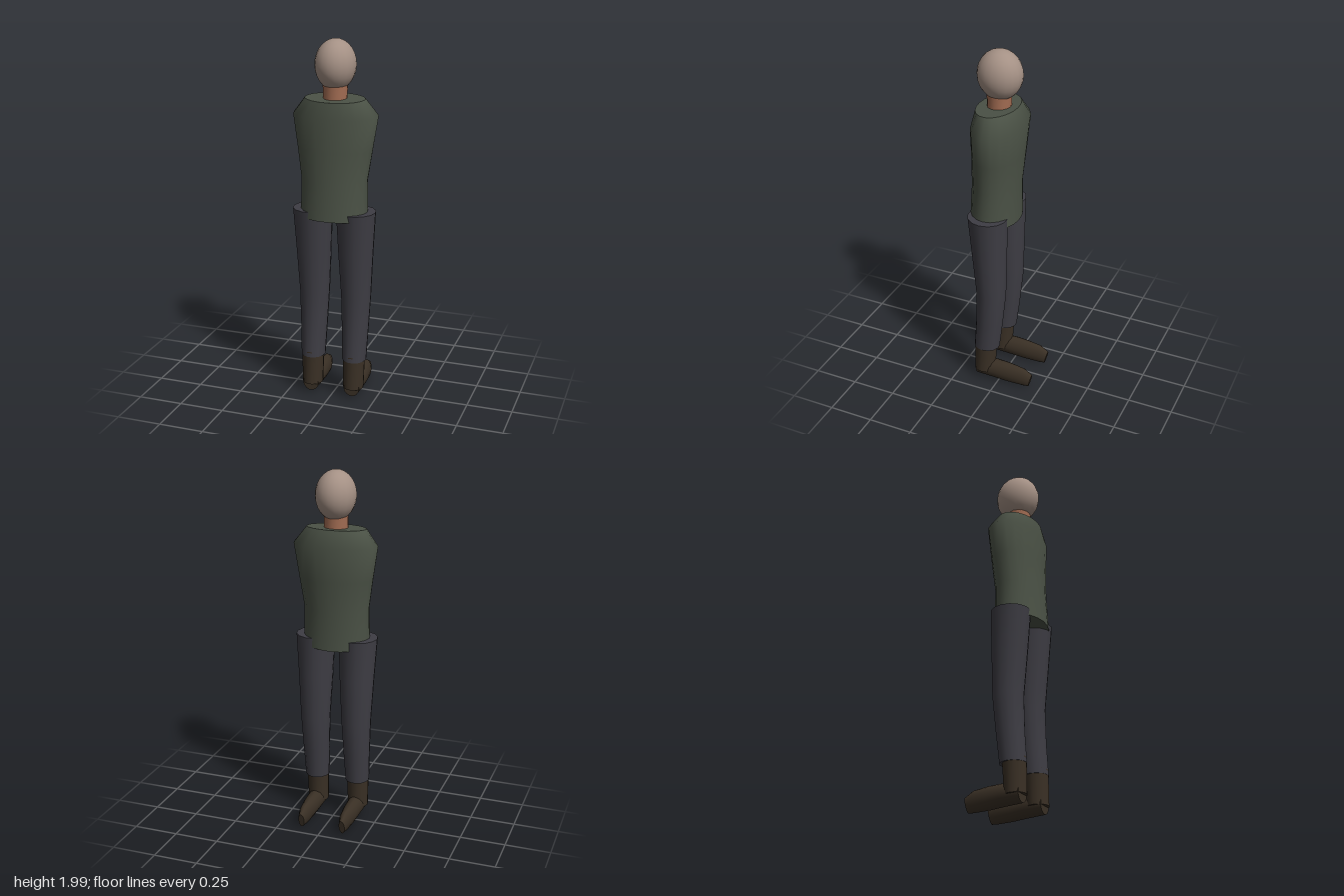
import * as THREE from 'three';

const mat = (name, color) => {
  const m = new THREE.MeshStandardMaterial({ color });
  m.name = name;
  return m;
};

// Closed body through elliptical rings stacked along y: [y, cx, cz, rx, rz, tilt].
// tilt is the change of y per unit of z, measured from the ring centre.
function loft(rings, n) {
  const pos = [], idx = [];
  const addRing = ([y, cx, cz, rx, rz, tilt = 0]) => {
    const start = pos.length / 3;
    for (let i = 0; i < n; i++) {
      const a = (i / n) * Math.PI * 2;
      const dz = Math.sin(a) * rz;
      pos.push(cx + Math.cos(a) * rx, y + dz * tilt, cz + dz);
    }
    return start;
  };
  const starts = rings.map(addRing);
  for (let r = 0; r + 1 < rings.length; r++) {
    for (let i = 0; i < n; i++) {
      const j = (i + 1) % n;
      const a = starts[r] + i, b = starts[r] + j;
      const c = starts[r + 1] + i, d = starts[r + 1] + j;
      idx.push(a, c, b, b, c, d);
    }
  }
  // Caps have their own vertices so their rims stay sharp
  [[rings[0], false], [rings[rings.length - 1], true]].forEach(([ring, top]) => {
    const s = addRing(ring), centre = pos.length / 3;
    pos.push(ring[1], ring[0], ring[2]);
    for (let i = 0; i < n; i++) {
      const j = (i + 1) % n;
      if (top) idx.push(centre, s + j, s + i);
      else idx.push(centre, s + i, s + j);
    }
  });
  const g = new THREE.BufferGeometry();
  g.setAttribute('position', new THREE.Float32BufferAttribute(pos, 3));
  g.setIndex(idx);
  g.computeVertexNormals();
  return g;
}

export function createModel() {
  const model = new THREE.Group();
  model.name = 'figure';
  const head = mat('pale skin', 0xa59185);
  const skin = mat('neck skin', 0xa36d53);
  const shirt = mat('green shirt', 0x4b5246);
  const cloth = mat('dark trousers', 0x3e3d44);
  const leather = mat('brown leather', 0x3a3025);

  const add = (parent, name, geometry, material) => {
    const mesh = new THREE.Mesh(geometry, material);
    mesh.name = name;
    parent.add(mesh);
    return mesh;
  };

  // Head and neck
  const skull = add(model, 'head', new THREE.SphereGeometry(1, 20, 14), head);
  skull.scale.set(0.109, 0.135, 0.123);
  skull.position.set(0, 1.865, 0.045);
  add(model, 'neck', loft([
    [1.66, 0, 0.05, 0.063, 0.063],
    [1.76, 0, 0.05, 0.066, 0.066],
  ], 16), skin);

  // Torso, from hem to shoulders
  add(model, 'torso', loft([
    [1.04, 0, 0.068, 0.186, 0.133, 0.07],
    [1.25, 0, 0.062, 0.182, 0.126, 0.03],
    [1.42, 0, 0.051, 0.207, 0.131],
    [1.60, 0, 0.043, 0.235, 0.138, -0.04],
    [1.69, 0, 0.055, 0.165, 0.11, -0.06],
  ], 20), shirt);

  // Legs and boots, one set for each side
  for (const [side, sign] of [['left', 1], ['right', -1]]) {
    const x = 0.12 * sign;
    const leg = new THREE.Group();
    leg.name = side + 'Leg';
    model.add(leg);

    add(leg, side + 'Trouser', loft([
      [0.23, x, 0.078, 0.067, 0.073],
      [0.40, x, 0.062, 0.074, 0.077],
      [0.60, x, 0.049, 0.083, 0.084],
      [0.85, x, 0.058, 0.096, 0.098],
      [1.085, x * 1.02, 0.066, 0.108, 0.110],
    ], 14), cloth);

    add(leg, side + 'Ankle', loft([
      [0.065, x, 0.092, 0.057, 0.060],
      [0.26, x, 0.084, 0.062, 0.065],
    ], 14), leather);

    // Foot rings run along y, then are turned to point along -z
    const foot = loft([
      [-0.13, x, 0.070, 0.046, 0.050],
      [-0.02, x, 0.074, 0.045, 0.060],
      [0.06, x, 0.070, 0.041, 0.062],
      [0.15, x, 0.064, 0.030, 0.058],
      [0.192, x, 0.050, 0.017, 0.042, 0.25],
    ], 14);
    foot.rotateX(-Math.PI / 2);
    // Restore the height direction after the turn
    const p = foot.attributes.position;
    for (let i = 0; i < p.count; i++) p.setY(i, Math.abs(p.getY(i)));
    add(leg, side + 'Foot', foot, leather);
  }
  return model;
}
